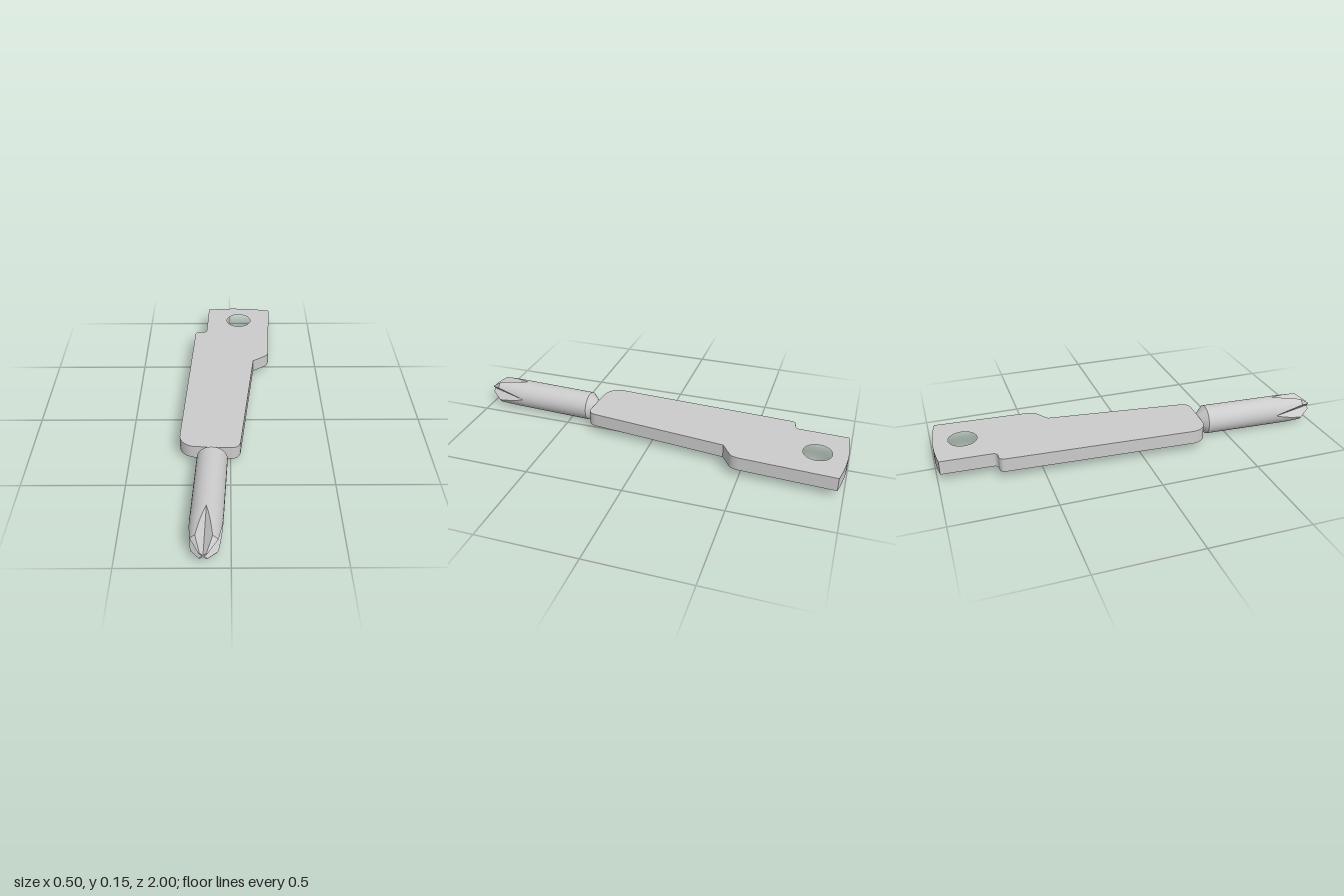
import * as THREE from 'three';
import { toCreasedNormals } from 'three/addons/utils/BufferGeometryUtils.js';

const material = new THREE.MeshStandardMaterial({ color: 0xcccccc });

function addMesh(parent, geometry, name, crease) {
  const mesh = new THREE.Mesh(toCreasedNormals(geometry, crease), material);
  mesh.name = name;
  parent.add(mesh);
  return mesh;
}

// Flat handle: outline drawn in (x, -z), extruded upwards
function plateGeometry() {
  const s = new THREE.Shape();
  s.moveTo(-0.13, 0.985);
  s.quadraticCurveTo(0.06, 1.015, 0.245, 0.97);
  s.lineTo(0.222, 0.5);
  s.quadraticCurveTo(0.22, 0.455, 0.19, 0.44);
  s.lineTo(0.132, 0.4);
  s.lineTo(0.05, -0.31);
  s.quadraticCurveTo(0.043, -0.358, 0.0, -0.356);
  s.lineTo(-0.165, -0.347);
  s.bezierCurveTo(-0.215, -0.344, -0.252, -0.31, -0.25, -0.26);
  s.lineTo(-0.205, 0.685);
  s.quadraticCurveTo(-0.203, 0.71, -0.18, 0.711);
  s.lineTo(-0.16, 0.712);
  s.quadraticCurveTo(-0.139, 0.713, -0.138, 0.737);
  s.closePath();
  // Key-ring hole
  const hole = new THREE.Path();
  hole.absarc(0.055, 0.85, 0.071, 0, Math.PI * 2, true);
  s.holes.push(hole);
  const g = new THREE.ExtrudeGeometry(s, { depth: 0.07, bevelEnabled: false, curveSegments: 16 });
  return g.rotateX(-Math.PI / 2).translate(0, 0.04, 0);
}

// Round shank along +z with a chamfered rear end
function shankGeometry() {
  const profile = [[0, 0.35], [0.032, 0.35], [0.075, 0.395], [0.075, 0.78]];
  return new THREE.LatheGeometry(profile.map(([r, z]) => new THREE.Vector2(r, z)), 32)
    .rotateX(Math.PI / 2);
}

// Cross tip: round sections cut by four V grooves that deepen towards the end
function tipGeometry() {
  const steps = 8, start = 0.78;
  const sections = [[0.78, 0.075], [0.82, 0.0749], [0.86, 0.0743], [0.9, 0.073], [0.94, 0.071], [1, 0.024]];
  const rings = sections.map(([z, r]) => {
    const floor = 0.075 - 0.071 * (z - start) / (1 - start);
    const half = Math.acos(floor / (r * Math.SQRT2)) - Math.PI / 4;
    const ring = [];
    const put = (rad, a) => ring.push(new THREE.Vector3(rad * Math.cos(a), rad * Math.sin(a), z));
    for (let q = 0; q < 4; q++) {
      const a0 = q * Math.PI / 2;
      put(floor, a0);
      for (let i = 0; i <= steps; i++) put(r, a0 + half + (Math.PI / 2 - 2 * half) * i / steps);
    }
    return ring;
  });
  const positions = [];
  const tri = (a, b, c) => {
    if (new THREE.Triangle(a, b, c).getArea() < 1e-9) return;
    for (const p of [a, b, c]) positions.push(p.x, p.y, p.z);
  };
  const n = rings[0].length;
  for (let k = 0; k < rings.length - 1; k++) {
    for (let i = 0; i < n; i++) {
      const j = (i + 1) % n;
      tri(rings[k][i], rings[k][j], rings[k + 1][j]);
      tri(rings[k][i], rings[k + 1][j], rings[k + 1][i]);
    }
  }
  // Small cross-shaped end face
  const end = rings[rings.length - 1];
  const centre = new THREE.Vector3(0, 0, 1);
  for (let i = 0; i < n; i++) tri(centre, end[i], end[(i + 1) % n]);
  const g = new THREE.BufferGeometry();
  g.setAttribute('position', new THREE.Float32BufferAttribute(positions, 3));
  return g;
}

export function createModel() {
  const model = new THREE.Group();
  model.name = 'keyScrewdriver';
  addMesh(model, plateGeometry(), 'handlePlate', 0.5);

  // Bit leans slightly sideways, parallel to the plate's long edge
  const bit = new THREE.Group();
  bit.name = 'bit';
  bit.position.set(-0.07, 0.075, 0);
  bit.rotation.y = -0.047;
  addMesh(bit, shankGeometry(), 'shank', 0.5);
  addMesh(bit, tipGeometry(), 'crossTip', 0.3);
  model.add(bit);
  return model;
}
